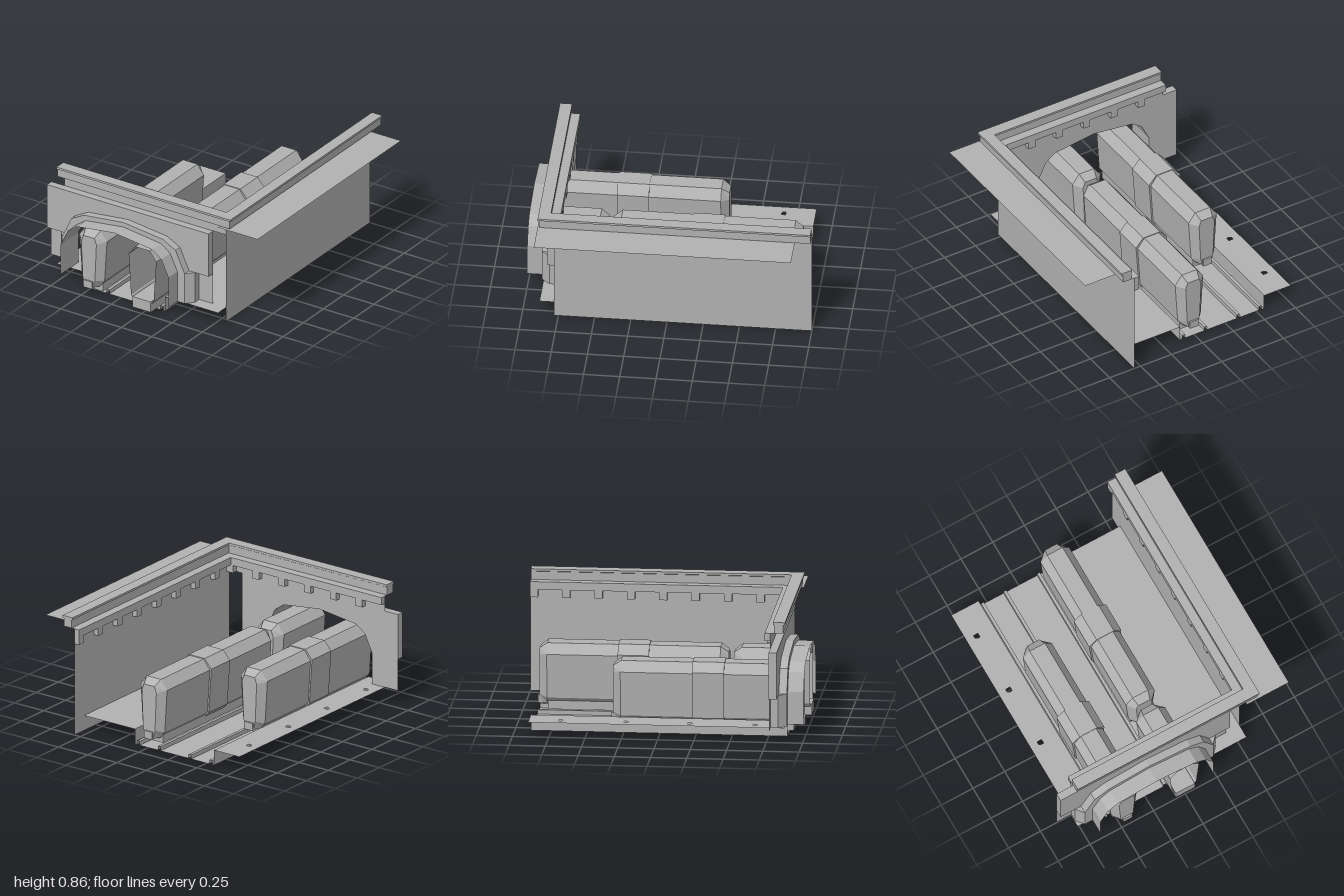
import * as THREE from 'three';

const stone = new THREE.MeshStandardMaterial({ color: 0xb2b2b2, flatShading: true, side: THREE.DoubleSide });
stone.name = 'pale grey';

function add(parent, name, geometry) {
  const mesh = new THREE.Mesh(geometry, stone);
  mesh.name = name;
  parent.add(mesh);
  return mesh;
}

function box(parent, name, x0, x1, y0, y1, z0, z1) {
  const g = new THREE.BoxGeometry(x1 - x0, y1 - y0, z1 - z0);
  return add(parent, name, g.translate((x0 + x1) / 2, (y0 + y1) / 2, (z0 + z1) / 2));
}

// Joins cross-sections; "loop" closes each section, caps fill the two ends
function loft(sections, { loop = true, capStart = true, capEnd = true, capShape = null } = {}) {
  const n = sections[0].length, pos = [];
  const tri = (a, b, c) => pos.push(...a, ...b, ...c);
  for (let i = 0; i + 1 < sections.length; i++) {
    const A = sections[i], B = sections[i + 1];
    for (let k = 0; k < (loop ? n : n - 1); k++) {
      const m = (k + 1) % n;
      tri(A[k], A[m], B[m]);
      tri(A[k], B[m], B[k]);
    }
  }
  if (loop) {
    const flat = (capShape || sections[0]).map(p => new THREE.Vector2(p[0], p[1]));
    const S = sections[0], E = sections[sections.length - 1];
    for (const [a, b, c] of THREE.ShapeUtils.triangulateShape(flat, [])) {
      if (capStart) tri(S[c], S[b], S[a]);
      if (capEnd) tri(E[a], E[b], E[c]);
    }
  }
  const g = new THREE.BufferGeometry();
  g.setAttribute('position', new THREE.Float32BufferAttribute(pos, 3));
  g.computeVertexNormals();
  return g;
}

const atZ = (pts, z) => pts.map(([x, y]) => [x, y, z]);
const sheet = (pts, z0, z1) => loft([atZ(pts, z0), atZ(pts, z1)], { loop: false });

// ---- Platforms and sunken track bed
function addGround(root) {
  const rail = x => [[x, 0], [x, 0.03], [x + 0.022, 0.03], [x + 0.022, 0]];
  const bed = [[-0.565, 0.11], [-0.565, 0], ...rail(-0.545), ...rail(-0.368),
    ...rail(-0.104), ...rail(0.073), [0.115, 0], [0.115, 0.11], [0.55, 0.11]];
  add(root, 'trackBed', sheet(bed.reverse(), -0.89, 0.88));

  // left-hand platform with drain holes
  const s = new THREE.Shape([[-0.78, -0.88], [-0.565, -0.88], [-0.565, 0.89], [-0.78, 0.89]]
    .map(p => new THREE.Vector2(...p)));
  for (const z of [-0.67, -0.22, 0.22, 0.67]) {
    s.holes.push(new THREE.Path([[-0.72, 0.015], [-0.685, 0.015], [-0.685, -0.015], [-0.705, -0.015], [-0.72, -0.005]]
      .map(([x, y]) => new THREE.Vector2(x, y - z))));
  }
  add(root, 'platform', new THREE.ShapeGeometry(s).rotateX(-Math.PI / 2).translate(0, 0.11, 0));
}

// ---- Side wall, outer slab, cornice and brackets
function addWalls(root) {
  add(root, 'sideWall', new THREE.PlaneGeometry(1.78, 0.78)
    .rotateY(Math.PI / 2).translate(0.55, 0.39, -0.11));
  add(root, 'frontFrieze', new THREE.PlaneGeometry(1.33, 0.11).translate(-0.115, 0.725, 0.78));
  add(root, 'outerSlab', new THREE.PlaneGeometry(0.33, 1.775)
    .rotateX(-Math.PI / 2).translate(0.715, 0.774, -0.003));

  const profile = [[0.512, 0.725], [0.55, 0.725], [0.55, 0.78], [0.64, 0.78], [0.64, 0.838], [0.652, 0.842],
    [0.652, 0.857], [0.568, 0.857], [0.568, 0.842], [0.575, 0.838], [0.575, 0.78], [0.512, 0.78]];
  add(root, 'cornice', loft([
    profile.map(([o, y]) => [o, y, -1]),
    profile.map(([o, y]) => [o, y, o + 0.23]),
    profile.map(([o, y]) => [-0.78, y, o + 0.23]),
  ], { capShape: profile }));

  for (let i = 0; i < 6; i++) {
    const x = -0.612 + i * 0.221;
    box(root, 'frontBracket', x, x + 0.055, 0.67, 0.725, 0.742, 0.78);
  }
  for (let i = 0; i < 8; i++) {
    const z = 0.615 - i * 0.223;
    box(root, 'sideBracket', 0.512, 0.55, 0.67, 0.725, Math.max(z - 0.055, -1), z);
  }
}

// ---- Arched portal, symmetrical about x = -0.223
function addPortal(root) {
  const portal = new THREE.Group();
  portal.name = 'portal';
  portal.position.x = -0.223;
  root.add(portal);
  const mirrored = half => [...half.map(([x, y]) => [-x, y]), ...half.slice(0, -1).reverse()];
  const inner = mirrored([[0.445, 0.11], [0.445, 0.34], [0.385, 0.465], [0.31, 0.518], [0, 0.557]]);
  const outer = mirrored([[0.505, 0.11], [0.505, 0.34], [0.43, 0.5], [0.325, 0.555], [0, 0.592]]);
  const vec = pts => pts.map(p => new THREE.Vector2(...p));
  const extrude = (name, pts, z0, z1) => add(portal, name,
    new THREE.ExtrudeGeometry(new THREE.Shape(vec(pts)), { depth: z1 - z0, bevelEnabled: false }).translate(0, 0, z0));

  extrude('archRing', [...outer, ...inner.slice().reverse()], 0.78, 0.89);
  extrude('upperPanel', [[-0.667, 0.34], [-0.667, 0.67], [0.667, 0.67], [0.667, 0.34],
    ...outer.slice(1, -1).reverse()], 0.78, 0.835);
  add(portal, 'archSleeve', sheet(inner, 0.89, 1));

  for (const s of [-1, 1]) {
    // recessed lower panel and splayed pier
    add(portal, 'lowerPanel', new THREE.PlaneGeometry(0.162, 0.23).translate(s * 0.586, 0.225, 0.782));
    const plan = [[0.505, 0.78], [0.552, 0.78], [0.552, 0.835], [0.505, 0.89]];
    const ring = y => plan.map(([x, z]) => [s * x, y, z]);
    add(portal, 'splayedPier', loft(s > 0 ? [ring(0.34), ring(0.11)] : [ring(0.11), ring(0.34)],
      { capShape: plan }));
  }
}

// ---- Trains: faceted body with tapered noses and a wider middle band
function addTrain(root, x, z0, z1, noseAtFront, band) {
  const train = new THREE.Group();
  train.name = 'train';
  train.position.x = x;
  root.add(train);
  const full = half => [...half, ...half.slice().reverse().map(([a, b]) => [-a, b])];
  const body = full([[0.055, 0.065], [0.093, 0.115], [0.113, 0.425], [0.06, 0.495]]);
  const tip = full([[0.035, 0.075], [0.05, 0.13], [0.062, 0.41], [0.045, 0.455]]);
  const mid = full([[0.06, 0.06], [0.103, 0.11], [0.126, 0.435], [0.068, 0.5]]);

  const sections = [atZ(tip, z0), atZ(body, z0 + 0.055)];
  if (noseAtFront) sections.push(atZ(body, z1 - 0.055), atZ(tip, z1));
  else sections.push(atZ(body, z1));
  add(train, 'trainBody', loft(sections, { capEnd: noseAtFront }));
  if (band) add(train, 'middleBand', loft([atZ(mid, band[0]), atZ(mid, band[1])]));

  const end = noseAtFront ? z1 - 0.06 : 1;
  box(train, 'underframe', -0.075, 0.075, 0.03, 0.11, z0 + 0.06, end);
  box(train, 'coupler', -0.035, 0.035, 0.065, 0.12, z0 - 0.012, z0 + 0.06);
  if (noseAtFront) box(train, 'coupler', -0.035, 0.035, 0.065, 0.12, z1 - 0.06, z1 + 0.012);
}

export function createModel() {
  const root = new THREE.Group();
  root.name = 'railwayStation';
  addGround(root);
  addWalls(root);
  addPortal(root);
  addTrain(root, -0.448, -0.33, 0.98, true, [0.22, 0.44]);
  addTrain(root, 0, -0.88, 0.425, true, [-0.335, -0.12]);
  addTrain(root, 0, 0.46, 0.99, false, null);
  return root;
}
